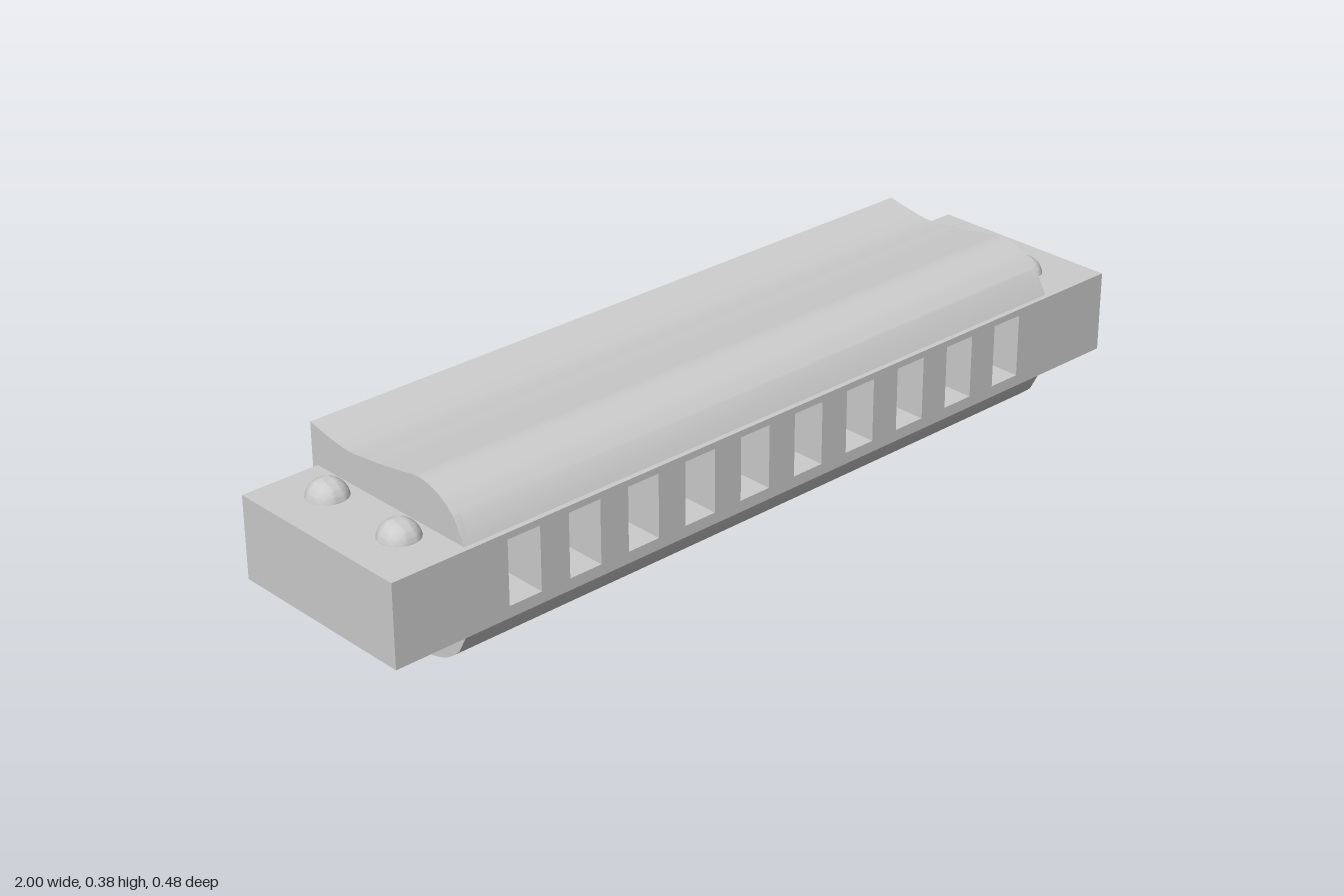
import * as THREE from 'three';
import { toCreasedNormals } from 'three/addons/utils/BufferGeometryUtils.js';

const MID = 0.192;            // height of the mirror plane between the two covers
const TOP = 0.285, BOTTOM = 0.1;
const BACK = 0.222, FRONT = 0.24;
const HALF = 0.82;            // half length of a cover
const WALL = 0.016;

const V = (x, y) => new THREE.Vector2(x, y);

// Cover section, drawn as (-z, y) from the front edge to the back edge
function coverProfile() {
  const curve = new THREE.SplineCurve([
    V(-0.2, 0.338), V(-0.16, 0.368), V(-0.105, 0.383), V(-0.055, 0.377), V(0.01, 0.366),
    V(0.06, 0.36), V(0.11, 0.355), V(0.16, 0.359), V(0.238, 0.374),
  ]);
  return [V(-0.228, TOP), ...curve.getPoints(40)];
}

// Inner side of the sheet, offset by the wall thickness
function insetProfile(points) {
  return points.map((p, i) => {
    const a = points[Math.max(i - 1, 0)];
    const b = points[Math.min(i + 1, points.length - 1)];
    const d = b.clone().sub(a).normalize();
    return V(Math.min(p.x + d.y * WALL, BACK), Math.max(p.y - d.x * WALL, TOP));
  });
}

// Extrude a section along x, flipped below the mirror plane when side is -1
function extrudeAlongX(points, side, x0, x1) {
  const section = points.map((p) => V(p.x, side > 0 ? p.y : 2 * MID - p.y));
  const geometry = new THREE.ExtrudeGeometry(new THREE.Shape(section), { depth: x1 - x0, bevelEnabled: false });
  geometry.rotateY(Math.PI / 2);
  geometry.translate(x0, 0, 0);
  return toCreasedNormals(geometry, 0.45);
}

export function createModel() {
  const model = new THREE.Group();
  model.name = 'harmonica';
  const metal = new THREE.MeshStandardMaterial({ color: 0xcccccc });
  metal.name = 'light grey';

  function add(name, geometry, parent = model) {
    const mesh = new THREE.Mesh(geometry, metal);
    mesh.name = name;
    parent.add(mesh);
    return mesh;
  }

  // Comb: a front block with ten blow holes and a solid back block
  const holeDepth = 0.2;
  const face = new THREE.Shape([V(-1, BOTTOM), V(1, BOTTOM), V(1, TOP), V(-1, TOP)]);
  for (let i = 0; i < 10; i++) {
    const x = -0.686 + i * 0.152;
    face.holes.push(new THREE.Path([V(x - 0.04, 0.126), V(x - 0.04, 0.27), V(x + 0.04, 0.27), V(x + 0.04, 0.126)]));
  }
  const comb = new THREE.ExtrudeGeometry(face, { depth: holeDepth, bevelEnabled: false });
  comb.translate(0, 0, FRONT - holeDepth);
  add('combFront', comb);

  const backDepth = FRONT + BACK - holeDepth;
  const back = new THREE.BoxGeometry(2, TOP - BOTTOM, backDepth);
  back.translate(0, (TOP + BOTTOM) / 2, -BACK + backDepth / 2);
  add('combBack', back);

  // Hollow covers with a back lip, a sound slit and closed ends
  const outer = coverProfile();
  const inner = insetProfile(outer);
  const sheet = [...outer, V(0.238, 0.308), V(BACK, 0.308), ...inner.reverse()];
  const end = [...outer, V(0.238, 0.27), V(BACK, 0.27), V(BACK, TOP)];
  for (const [name, side] of [['upperCover', 1], ['lowerCover', -1]]) {
    const cover = new THREE.Group();
    cover.name = name;
    model.add(cover);
    add('coverSheet', extrudeAlongX(sheet, side, -HALF + WALL, HALF - WALL), cover);
    add('coverEndRight', extrudeAlongX(end, side, -HALF, -HALF + WALL), cover);
    add('coverEndLeft', extrudeAlongX(end, side, HALF - WALL, HALF), cover);
  }

  // Domed screws, all with the dome upwards and a flat underside
  const r = 0.045;
  const arc = [V(0, 0)];
  for (let i = 0; i <= 12; i++) {
    const a = (i / 12) * Math.PI / 2;
    arc.push(V(i === 12 ? 0 : r * Math.cos(a), r * Math.sin(a)));
  }
  const dome = toCreasedNormals(new THREE.LatheGeometry(arc, 32), 0.6);
  for (const x of [-0.88, 0.88]) {
    for (const z of [-0.111, 0.11]) {
      add('upperScrew', dome).position.set(x, 0.277, z);
      add('lowerScrew', dome).position.set(x, 0.062, z);
    }
  }
  return model;
}
